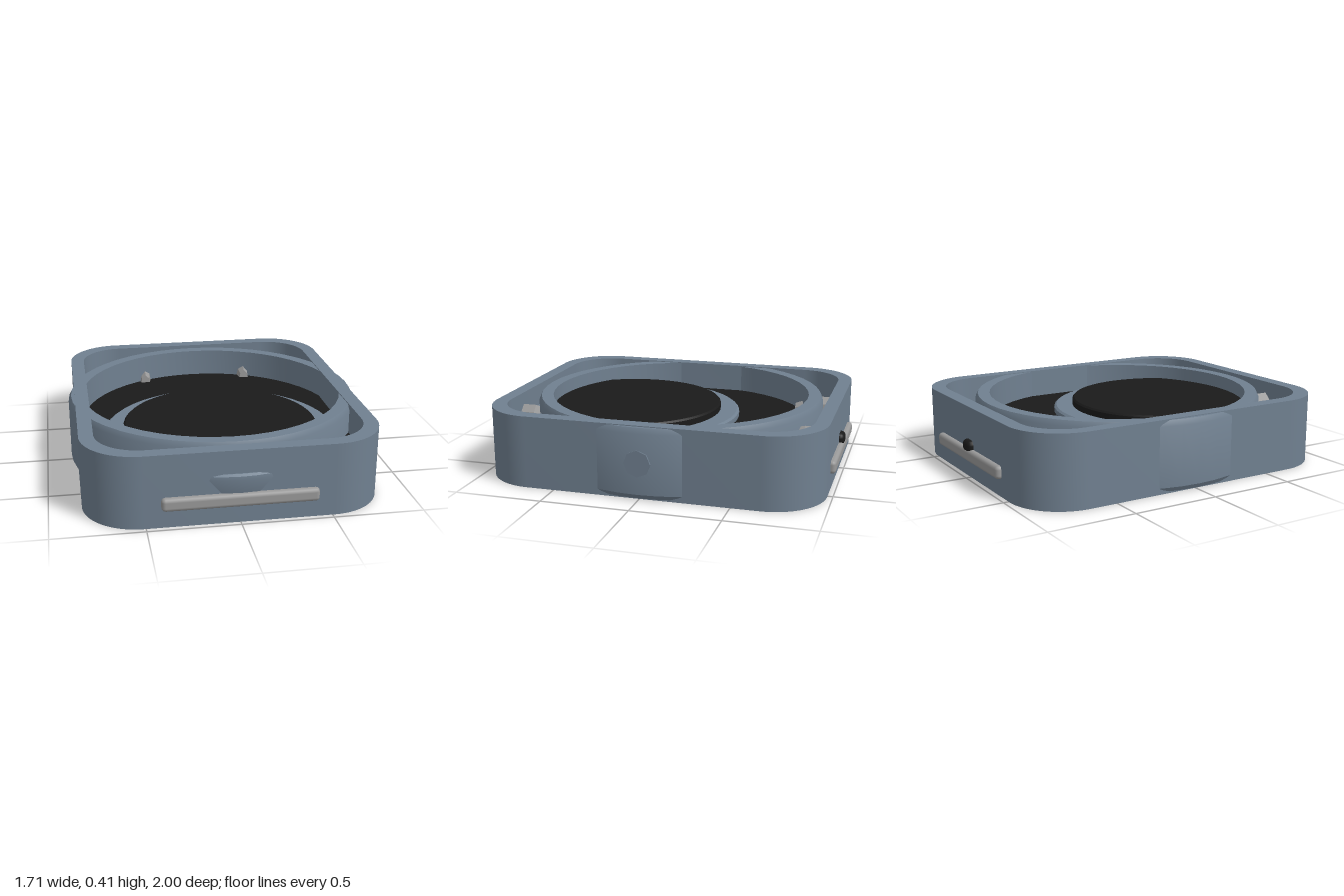
import * as THREE from 'three';
import { toCreasedNormals } from 'three/addons/utils/BufferGeometryUtils.js';
import { RoundedBoxGeometry } from 'three/addons/geometries/RoundedBoxGeometry.js';

const slate = new THREE.MeshStandardMaterial({ color: 0x708090 });
const black = new THREE.MeshStandardMaterial({ color: 0x1a1a1a });
const metal = new THREE.MeshStandardMaterial({ color: 0x999999 });

// Rounded rectangle outline with half sizes w, h and corner radius r
function roundedRect(Type, w, h, r) {
  const s = new Type();
  s.absarc(w - r, h - r, r, 0, Math.PI / 2);
  s.absarc(-w + r, h - r, r, Math.PI / 2, Math.PI);
  s.absarc(-w + r, -h + r, r, Math.PI, Math.PI * 1.5);
  s.absarc(w - r, -h + r, r, Math.PI * 1.5, Math.PI * 2);
  s.closePath();
  return s;
}

// Extrude a plan outline upward from y0 to y1
function slab(shape, y0, y1) {
  const g = new THREE.ExtrudeGeometry(shape, { depth: y1 - y0, bevelEnabled: false, curveSegments: 10 });
  return toCreasedNormals(g.rotateX(-Math.PI / 2).translate(0, y0, 0), 0.6);
}

// Solid turned from a profile of [radius, y] points, bottom outside first
function turned(profile, segments) {
  const g = new THREE.LatheGeometry(profile.map(p => new THREE.Vector2(...p)), segments);
  return toCreasedNormals(g, 0.5);
}

export function createModel() {
  const model = new THREE.Group();
  const add = (name, geometry, material, x = 0, y = 0, z = 0) => {
    const mesh = new THREE.Mesh(geometry, material);
    mesh.name = name;
    mesh.position.set(x, y, z);
    model.add(mesh);
    return mesh;
  };

  // Outer frame and the plate across its inside
  const outline = roundedRect(THREE.Shape, 0.82, 0.97, 0.31);
  outline.holes.push(roundedRect(THREE.Path, 0.74, 0.89, 0.25));
  add('frame', slab(outline, 0, 0.41), slate);
  add('innerPlate', slab(roundedRect(THREE.Shape, 0.745, 0.895, 0.25), 0.21, 0.24), black);

  // Large ring, bulging slightly through the frame sides
  add('largeRing', turned([
    [0.77, 0.01], [0.84, 0.01], [0.855, 0.035], [0.855, 0.375],
    [0.84, 0.405], [0.77, 0.405], [0.77, 0.01],
  ], 48), slate);

  // Small ring with its raised disc, bulging through the front
  add('smallRing', turned([
    [0.54, 0.13], [0.645, 0.13], [0.655, 0.16], [0.67, 0.25],
    [0.668, 0.27], [0.655, 0.28], [0.54, 0.28], [0.54, 0.13],
  ], 48), slate, 0, 0, 0.322);
  add('disc', turned([
    [0, 0.09], [0.545, 0.09], [0.555, 0.1], [0.555, 0.315], [0.545, 0.325], [0, 0.325],
  ], 48), black, 0, 0, 0.322);

  // Trim bars at the front and back
  for (const s of [1, -1]) {
    add(s > 0 ? 'frontBar' : 'backBar', new RoundedBoxGeometry(0.84, 0.075, 0.07, 2, 0.022),
      metal, 0, 0.135, s * 0.964);
  }

  // Four faceted pegs, tapered towards the middle
  for (const sx of [1, -1]) for (const sz of [1, -1]) {
    const g = new THREE.CylinderGeometry(0.6, 1, 0.24, 8, 3).toNonIndexed();
    const p = g.attributes.position;
    for (let i = 0; i < p.count; i++) {
      const y = p.getY(i);
      const k = y > 0.1 ? 0.6 : y > 0 ? 0.85 : 1;
      const r = Math.hypot(p.getX(i), p.getZ(i)) || 1;
      const inner = Math.hypot(p.getX(i), p.getZ(i)) < 1e-4 ? 0 : k;
      p.setX(i, p.getX(i) / r * inner * 0.056);
      p.setZ(i, p.getZ(i) / r * inner * 0.13);
    }
    g.rotateX(-sz * Math.PI / 2);
    g.computeVertexNormals();
    add('peg', g, metal, sx * 0.335, 0.21, sz * 0.77);
  }

  // Rod from the back knob to the small ring
  const rod = new THREE.CylinderGeometry(0.042, 0.042, 0.6, 12).rotateX(Math.PI / 2);
  add('rod', toCreasedNormals(rod, 0.7), black, 0, 0.185, -0.66);
  add('backKnob', new RoundedBoxGeometry(0.105, 0.075, 0.08, 2, 0.03), black, 0, 0.185, -0.96);

  // Eight-sided button on the left side
  const button = new THREE.CylinderGeometry(0.075, 0.075, 0.03, 8).rotateZ(Math.PI / 2);
  add('sideButton', toCreasedNormals(button, 0.5), slate, 0.844, 0.21, 0);

  return model;
}
